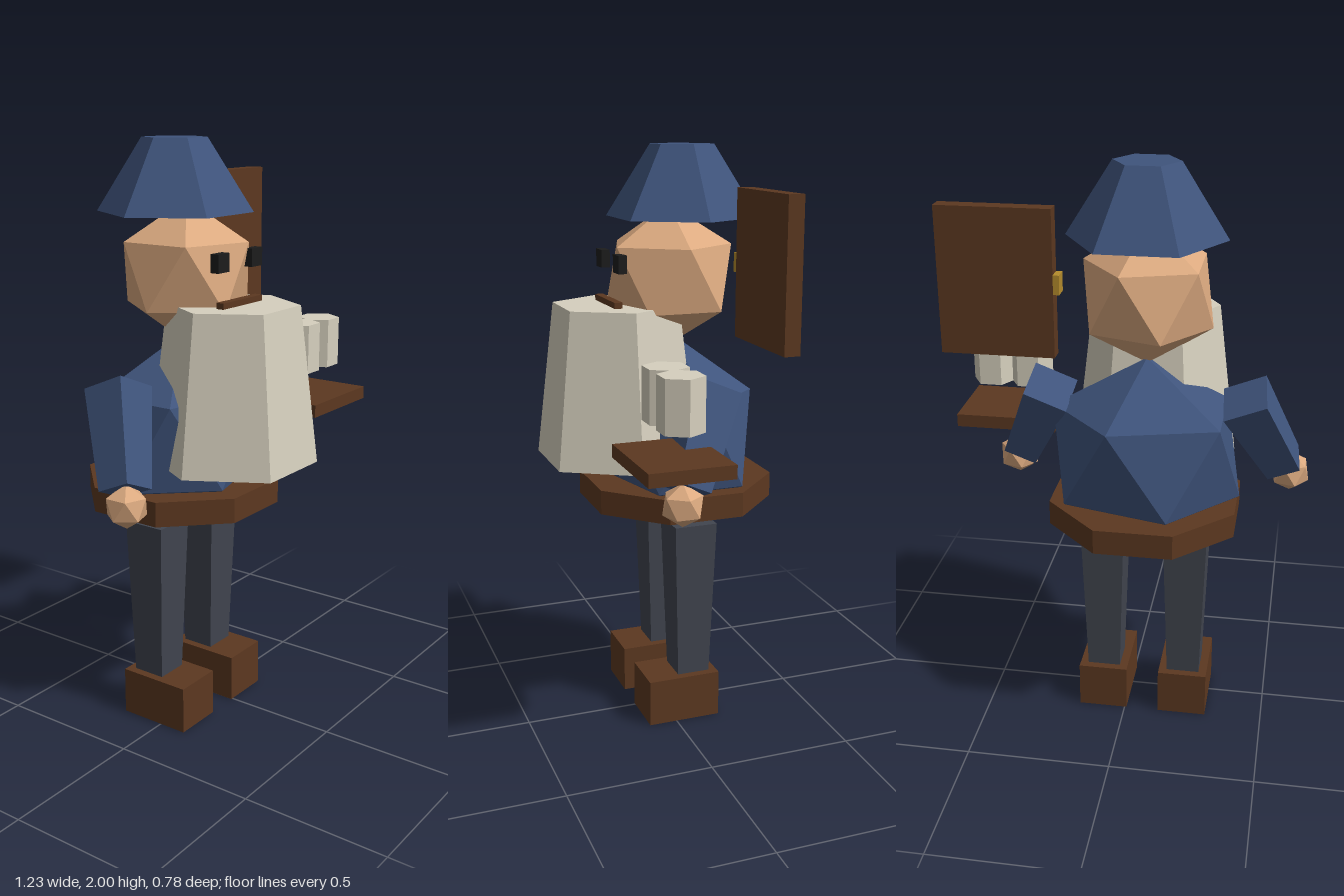
import * as THREE from 'three';
import { ConvexGeometry } from 'three/addons/geometries/ConvexGeometry.js';

const CX = -0.065; // centre line of the figure

const mat = (name, color) => {
  const m = new THREE.MeshStandardMaterial({ color });
  m.name = name;
  return m;
};

// Twenty-sided ball standing on a point, with radii per axis
function gem(rx, ry, rz) {
  const pts = [new THREE.Vector3(0, ry, 0), new THREE.Vector3(0, -ry, 0)];
  for (let i = 0; i < 5; i++) {
    const a = (i * Math.PI * 2) / 5;
    const x = Math.cos(a) * 0.894, z = Math.sin(a) * 0.894;
    pts.push(new THREE.Vector3(x * rx, 0.447 * ry, z * rz));
    pts.push(new THREE.Vector3(-x * rx, -0.447 * ry, z * rz));
  }
  return new ConvexGeometry(pts);
}

// Straight-sided prism or frustum with flat faces
function prism(rTop, rBottom, height, sides, turn) {
  const g = new THREE.CylinderGeometry(rTop, rBottom, height, sides).toNonIndexed();
  g.rotateY(turn);
  g.computeVertexNormals();
  return g;
}

// Square frustum given by its half widths
const taper = (top, bottom, height) =>
  prism(top * Math.SQRT2, bottom * Math.SQRT2, height, 4, Math.PI / 4);

export function createModel() {
  const model = new THREE.Group();
  model.name = 'figure';

  const blue = mat('blue cloth', 0x3f547c);
  const skin = mat('skin', 0xdcaa80);
  const brown = mat('brown leather and wood', 0x5c3820);
  const cream = mat('cream', 0xd6d0be);
  const slate = mat('slate trousers', 0x41454f);
  const black = mat('black', 0x1c1c1c);
  const gold = mat('gold', 0xb58c2c);

  const add = (name, geometry, material, x, y, z) => {
    const mesh = new THREE.Mesh(geometry, material);
    mesh.name = name;
    mesh.position.set(x, y, z);
    model.add(mesh);
    return mesh;
  };
  // Box from its lowest and highest corners
  const box = (name, material, [x0, y0, z0], [x1, y1, z1]) =>
    add(name, new THREE.BoxGeometry(x1 - x0, y1 - y0, z1 - z0), material,
      (x0 + x1) / 2, (y0 + y1) / 2, (z0 + z1) / 2);

  // Torso, belt and head
  add('body', gem(0.36, 0.336, 0.288), blue, CX, 1.015, -0.075);
  add('belt', prism(0.341, 0.341, 0.085, 8, Math.PI / 8), brown, CX, 0.8175, -0.075);
  add('head', gem(0.24, 0.24, 0.24), skin, CX, 1.563, -0.05);
  add('hat', prism(0.109, 0.262, 0.24, 6, Math.PI / 6), blue, CX, 1.88, -0.098);
  add('beard', prism(0.22, 0.285, 0.53, 6, Math.PI / 6), cream, CX, 1.21, 0.14);
  box('mouth', brown, [CX - 0.11, 1.475, 0.15], [CX + 0.11, 1.495, 0.178]);

  // Paired parts
  for (const [side, s] of [['left', 1], ['right', -1]]) {
    const eyeX = CX + s * 0.094;
    box(side + 'Eye', black, [eyeX - 0.03, 1.59, 0.138], [eyeX + 0.03, 1.65, 0.168]);

    const legX = CX + s * 0.145;
    add(side + 'Leg', taper(0.076, 0.058, 0.565), slate, legX, 0.4425, -0.074);
    box(side + 'Boot', brown, [legX - 0.087, 0, -0.16], [legX + 0.087, 0.165, 0.1]);

    // Arm slopes outwards and forwards from shoulder to hand
    const top = new THREE.Vector3(CX + s * 0.328, 1.228, -0.08);
    const end = new THREE.Vector3(CX + s * 0.462, 0.943, 0.054);
    const up = top.clone().sub(end);
    const mid = top.clone().add(end).multiplyScalar(0.5);
    const arm = add(side + 'Arm', taper(0.077, 0.059, up.length()), blue, mid.x, mid.y, mid.z);
    arm.quaternion.setFromUnitVectors(new THREE.Vector3(0, 1, 0), up.normalize());
    add(side + 'Hand', gem(0.073, 0.073, 0.073), skin, CX + s * 0.487, 0.902, 0.079);
  }

  // Tray with two cups hovering over it
  box('tray', brown, [0.267, 1.035, -0.022], [0.617, 1.08, 0.262]);
  for (const x of [0.375, 0.51]) {
    add('cup', prism(0.076, 0.076, 0.175, 6, Math.PI / 6), cream, x, 1.257, 0.12);
  }

  // Board with its clasp
  box('board', brown, [0.21, 1.39, -0.236], [0.583, 1.87, -0.183]);
  box('clasp', gold, [0.19, 1.6, -0.236], [0.21, 1.663, -0.183]);

  return model;
}
